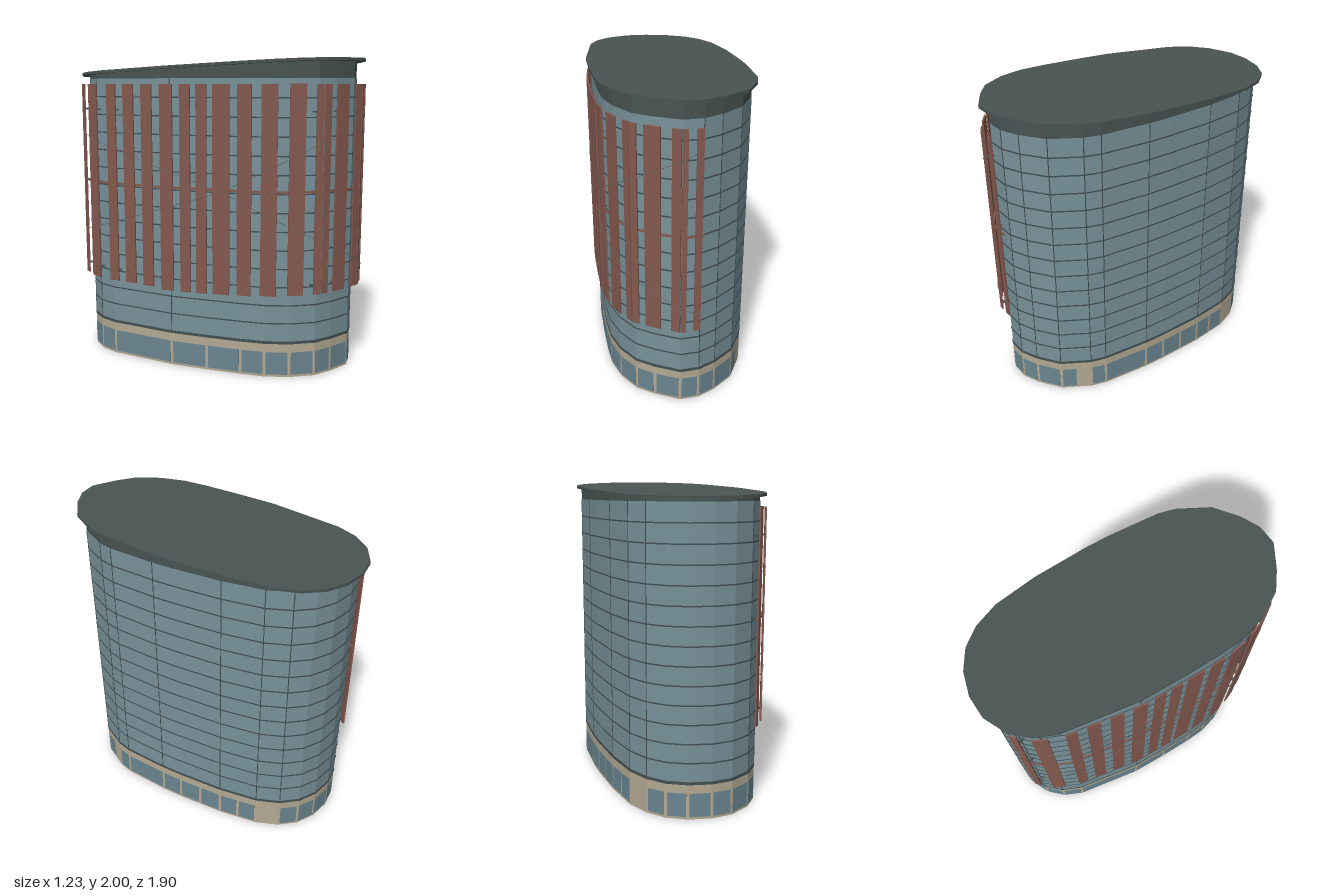
import * as THREE from 'three';

const mat = (name, color, side = THREE.FrontSide) => {
  const m = new THREE.MeshStandardMaterial({ color, side });
  m.name = name;
  return m;
};

// Roof outline as [x, z]; the walls use the same outline, slightly smaller
const OUTLINE = [
  [-0.613, -0.477], [-0.603, -0.628], [-0.548, -0.759], [-0.432, -0.879], [-0.3, -0.935],
  [-0.146, -0.95], [-0.005, -0.92], [0.115, -0.844], [0.226, -0.714], [0.352, -0.462],
  [0.472, -0.15], [0.522, 0], [0.608, 0.327], [0.615, 0.437], [0.578, 0.648],
  [0.477, 0.8], [0.382, 0.894], [0.266, 0.943], [0.09, 0.915], [-0.045, 0.874],
  [-0.18, 0.764], [-0.28, 0.628], [-0.347, 0.477], [-0.432, 0.25], [-0.518, 0],
];
const WALL = 0.942;
const TILT = 0.05;

// Upright prism on the scaled outline
function prism(scale, y0, y1) {
  const shape = new THREE.Shape(OUTLINE.map(([x, z]) => new THREE.Vector2(x * scale, -z * scale)));
  const geo = new THREE.ExtrudeGeometry(shape, { depth: y1 - y0, bevelEnabled: false });
  return geo.rotateX(-Math.PI / 2).translate(0, y0, 0);
}

// Tilt all vertices above a height along z
function tilt(geo, above) {
  const p = geo.attributes.position;
  for (let i = 0; i < p.count; i++) {
    if (p.getY(i) > above) p.setY(i, p.getY(i) + TILT * p.getZ(i));
  }
  geo.computeVertexNormals();
  return geo;
}

export function createModel() {
  const group = new THREE.Group();
  group.name = 'ovalTower';
  const glass = mat('facadeGlass', 0x78929a);
  const shopGlass = mat('groundFloorGlass', 0x6a8590);
  const stone = mat('paleStone', 0xb3a992);
  const dark = mat('darkRoofMetal', 0x495453);
  const joint = mat('jointLines', 0x435052);
  const terracotta = mat('terracottaSlats', 0x84594f);
  const cable = mat('cableGrey', 0x6f6a62);

  const add = (name, geo, material, parent = group) => {
    const m = new THREE.Mesh(geo, material);
    m.name = name;
    parent.add(m);
    return m;
  };
  const sub = (name) => {
    const g = new THREE.Group();
    g.name = name;
    group.add(g);
    return g;
  };
  // Box whose length runs horizontally from a to b ([x, z] points)
  const bar = (name, a, b, y0, y1, thick, material, parent) => {
    const dx = b[0] - a[0], dz = b[1] - a[1];
    const m = add(name, new THREE.BoxGeometry(Math.hypot(dx, dz), y1 - y0, thick), material, parent);
    m.position.set((a[0] + b[0]) / 2, (y0 + y1) / 2, (a[1] + b[1]) / 2);
    m.rotation.y = Math.atan2(-dz, dx);
    return m;
  };
  const lerp = (a, b, t) => [a[0] + (b[0] - a[0]) * t, a[1] + (b[1] - a[1]) * t];
  const scaled = (p, s) => [p[0] * s, p[1] * s];

  // Main volumes
  add('groundFloor', prism(WALL, 0, 0.22), stone);
  add('baseBand', prism(WALL + 0.004, 0.218, 0.236), joint);
  add('glassFacade', prism(WALL, 0.22, 1.875), glass);
  add('parapet', tilt(prism(WALL, 1.875, 1.938), 1.9), dark);
  add('roofSlab', tilt(prism(1, 1.935, 1.9525), 0), dark);

  // Floor joints
  const joints = sub('floorJoints');
  for (let i = 1; i < 14; i++) {
    const y = 0.235 + i * 0.1171;
    add('floorJoint', prism(WALL + 0.004, y - 0.004, y + 0.004), joint, joints);
  }

  // Upright joints at some wall corners
  const mullions = sub('uprightJoints');
  for (const i of [1, 2, 7, 8, 9, 11, 12, 13, 14, 15, 16, 24]) {
    const [x, z] = scaled(OUTLINE[i], WALL);
    add('uprightJoint', new THREE.CylinderGeometry(0.003, 0.003, 1.64, 6), joint, mullions).position.set(x, 1.055, z);
  }

  // Ground floor windows, one or two to a wall facet
  const windows = sub('groundFloorWindows');
  OUTLINE.forEach((p, i) => {
    if (i === 7) return; // blank facet
    const a = scaled(p, WALL), b = scaled(OUTLINE[(i + 1) % OUTLINE.length], WALL);
    const len = Math.hypot(b[0] - a[0], b[1] - a[1]);
    const n = i === 8 || i === 9 ? 2 : 1;
    const start = i === 13 ? 0.45 : 0; // partly blank facet
    const gap = 0.01 / len;
    for (let k = 0; k < n; k++) {
      const t0 = start + ((1 - start) * k) / n + gap, t1 = start + ((1 - start) * (k + 1)) / n - gap;
      bar('window', lerp(a, b, t0), lerp(a, b, t1), 0.015, 0.163, 0.005, shopGlass, windows);
    }
  });

  // Path of the slat screen, from the back right corner round to the front
  const path = [2, 1, 0, 24, 23, 22, 21, 20, 19, 18, 17, 16].map((i) => OUTLINE[i]);
  const pointAt = (s) => {
    for (let i = 0; i < path.length - 1; i++) {
      const len = Math.hypot(path[i + 1][0] - path[i][0], path[i + 1][1] - path[i][1]);
      if (s <= len || i === path.length - 2) return lerp(path[i], path[i + 1], s / len);
      s -= len;
    }
  };
  const profile = (pts, s) => {
    let i = 0;
    while (i < pts.length - 2 && s > pts[i + 1][0]) i++;
    return lerp(pts[i], pts[i + 1], (s - pts[i][0]) / (pts[i + 1][0] - pts[i][0]))[1];
  };

  // Slats as [start, end] along the path
  const screen = sub('slatScreen');
  const slats = [
    [0, 0.045], [0.13, 0.22], [0.32, 0.39], [0.45, 0.53], [0.59, 0.67], [0.73, 0.82],
    [0.87, 0.94], [0.98, 1.05], [1.09, 1.2], [1.25, 1.34], [1.4, 1.5], [1.57, 1.67],
    [1.735, 1.783], [1.79, 1.835], [1.88, 1.98], [2.046, 2.1], [2.105, 2.138], [2.185, 2.225],
  ];
  const foot = [[0, 0.53], [0.6, 0.53], [0.75, 0.515], [1.05, 0.52], [1.6, 0.545], [2.23, 0.56]];
  slats.forEach(([s0, s1], i) => {
    const mid = (s0 + s1) / 2;
    bar('slat', pointAt(s0), pointAt(s1), profile(foot, mid), 1.84, 0.01, terracotta, screen);
    // Brackets back to the wall
    if (i % 2 === 0 || i === 1) {
      const p = pointAt(mid);
      for (const y of [0.6, 1.19, 1.675]) {
        bar('bracket', scaled(p, 0.93), scaled(p, 0.995), y - 0.005, y + 0.005, 0.018, dark, screen);
      }
    }
  });

  // Middle rail behind the slats
  for (let i = 0; i < path.length - 1; i++) {
    bar('rail', scaled(path[i], 0.988), scaled(path[i + 1], 0.988), 1.183, 1.197, 0.008, terracotta, screen);
  }

  // Two crossing cables over the slats
  const cables = [
    [[0, 0.83], [0.29, 0.91], [1.15, 1.18], [2.22, 1.72]],
    [[0, 1.53], [0.29, 1.45], [1.15, 1.18], [2.22, 0.67]],
  ];
  for (const pts of cables) {
    const line = [];
    for (let i = 0; i <= 40; i++) {
      const s = (2.22 * i) / 40, [x, z] = scaled(pointAt(s), 1.008);
      line.push(new THREE.Vector3(x, profile(pts, s), z));
    }
    add('cable', new THREE.TubeGeometry(new THREE.CatmullRomCurve3(line), 80, 0.002, 5), cable, screen);
  }
  return group;
}
